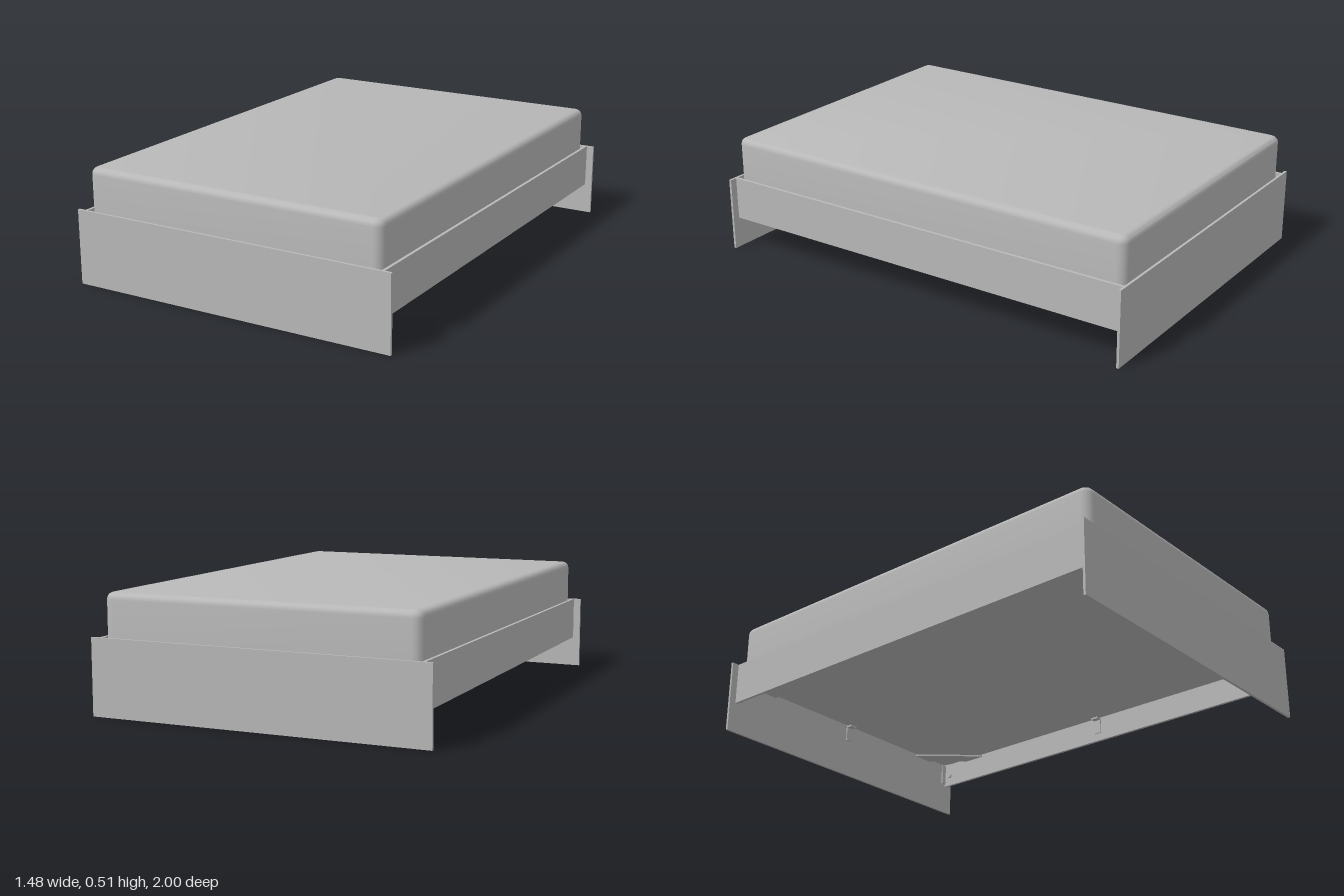
import * as THREE from 'three';
import { toCreasedNormals } from 'three/addons/utils/BufferGeometryUtils.js';

const grey = new THREE.MeshStandardMaterial({ color: 0xb8b8b8 });
grey.name = 'grey';

function add(parent, name, geometry, x = 0, y = 0, z = 0) {
  const mesh = new THREE.Mesh(geometry, grey);
  mesh.name = name;
  mesh.position.set(x, y, z);
  parent.add(mesh);
  return mesh;
}

const box = (w, h, d) => new THREE.BoxGeometry(w, h, d);

// Rounded slab with soft top edges and a flat underside at y = bottom
function mattressGeometry(halfX, halfZ, bottom, top, r) {
  const a = halfX - r, b = halfZ - r, c = 0.012;
  const shape = new THREE.Shape();
  shape.moveTo(-a + c, -b);
  shape.lineTo(a - c, -b);
  shape.quadraticCurveTo(a, -b, a, -b + c);
  shape.lineTo(a, b - c);
  shape.quadraticCurveTo(a, b, a - c, b);
  shape.lineTo(-a + c, b);
  shape.quadraticCurveTo(-a, b, -a, b - c);
  shape.lineTo(-a, -b + c);
  shape.quadraticCurveTo(-a, -b, -a + c, -b);
  const g = new THREE.ExtrudeGeometry(shape, {
    depth: top - bottom - r, bevelThickness: r, bevelSize: r, bevelSegments: 5, curveSegments: 5,
  });
  g.rotateX(-Math.PI / 2);
  const p = g.attributes.position;
  for (let i = 0; i < p.count; i++) p.setY(i, Math.max(0, p.getY(i)) + bottom);
  return toCreasedNormals(g, 0.6);
}

// Flat diagonal brace for the corner at +x, +z
function braceGeometry() {
  const shape = new THREE.Shape([
    new THREE.Vector2(0.475, 0.988), new THREE.Vector2(0.475, 0.98),
    new THREE.Vector2(0.69, 0.735), new THREE.Vector2(0.698, 0.735),
    new THREE.Vector2(0.698, 0.845), new THREE.Vector2(0.69, 0.845),
    new THREE.Vector2(0.58, 0.98), new THREE.Vector2(0.58, 0.988),
  ]);
  const g = new THREE.ExtrudeGeometry(shape, { depth: 0.008, bevelEnabled: false });
  return g.rotateX(Math.PI / 2);
}

export function createModel() {
  const bed = new THREE.Group();
  bed.name = 'bed';

  add(bed, 'mattress', mattressGeometry(0.69, 0.983, 0.25, 0.513, 0.03));

  // End panels reach the floor and carry a small centre support
  for (const s of [1, -1]) {
    const end = s > 0 ? 'foot' : 'head';
    add(bed, end + 'Panel', box(1.484, 0.328, 0.011), 0, 0.164, s * 0.9945);
    add(bed, end + 'CentreTab', box(0.035, 0.075, 0.005), 0, 0.213, s * 0.9865);
    add(bed, end + 'CentreLedge', box(0.035, 0.008, 0.03), 0, 0.245, s * 0.974);
  }

  // Side rails with their centre supports
  for (const s of [1, -1]) {
    const side = s > 0 ? 'left' : 'right';
    add(bed, side + 'Rail', box(0.013, 0.19, 1.978), s * 0.7035, 0.233, 0);
    add(bed, side + 'CentreTab', box(0.005, 0.075, 0.035), s * 0.6945, 0.213, 0);
    add(bed, side + 'CentreLedge', box(0.03, 0.008, 0.035), s * 0.682, 0.245, 0);
  }

  // Corner hardware, the same piece turned to all four corners
  const brace = braceGeometry();
  for (const sx of [1, -1]) {
    for (const sz of [1, -1]) {
      const corner = new THREE.Group();
      corner.name = 'cornerFitting';
      add(corner, 'diagonalBrace', brace, 0, 0.249, 0);
      add(corner, 'railPlate', box(0.005, 0.045, 0.11), 0.6945, 0.268, 0.79);
      add(corner, 'panelPlate', box(0.105, 0.045, 0.005), 0.5275, 0.268, 0.9865);
      add(corner, 'railEndTab', box(0.025, 0.1, 0.006), 0.685, 0.2, 0.986);
      add(corner, 'boltHead', new THREE.CylinderGeometry(0.012, 0.012, 0.008, 16), 0.693, 0.19, 0.955)
        .rotation.z = Math.PI / 2;
      corner.scale.set(sx, 1, sz);
      bed.add(corner);
    }
  }
  return bed;
}
